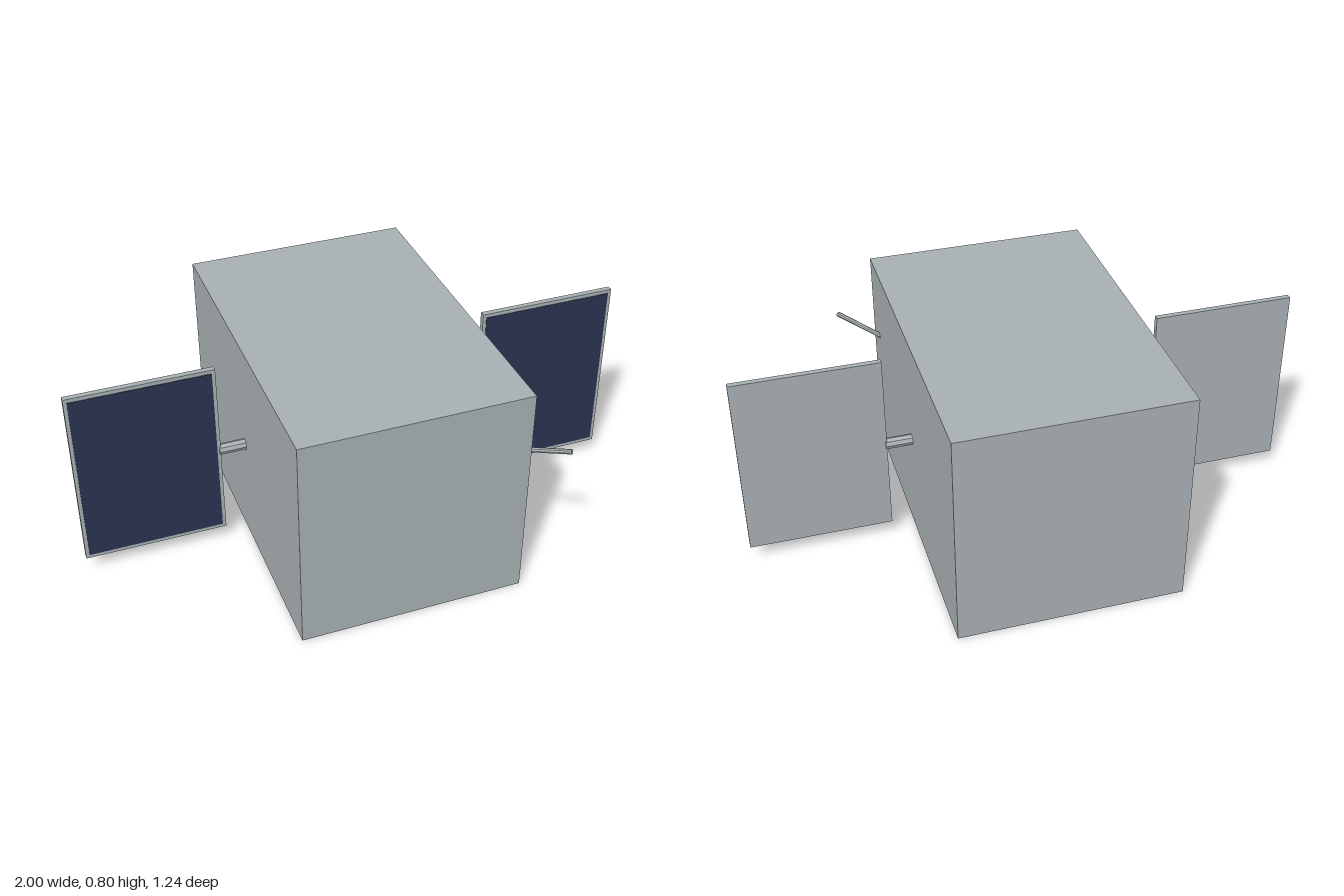
import * as THREE from 'three';

export function createModel() {
  const model = new THREE.Group();
  model.name = 'satellite';
  const hull = new THREE.MeshStandardMaterial({ color: 0xa8b0b3 });
  hull.name = 'hull grey';
  hull.flatShading = true;
  const navy = new THREE.MeshStandardMaterial({ color: 0x2b3350 });
  navy.name = 'solar cell navy';
  const midZ = -0.022;

  function box(name, size, pos, material, parent = model) {
    const mesh = new THREE.Mesh(new THREE.BoxGeometry(...size), material);
    mesh.name = name;
    mesh.position.set(...pos);
    parent.add(mesh);
  }

  // Faceted rod between two points
  function rod(name, from, to, radius, parent = model) {
    const a = new THREE.Vector3(...from);
    const b = new THREE.Vector3(...to);
    const dir = b.clone().sub(a);
    const mesh = new THREE.Mesh(new THREE.CylinderGeometry(radius, radius, dir.length(), 8), hull);
    mesh.name = name;
    mesh.position.copy(a).add(b).multiplyScalar(0.5);
    mesh.quaternion.setFromUnitVectors(new THREE.Vector3(0, 1, 0), dir.normalize());
    parent.add(mesh);
  }

  // Main body
  box('body', [0.8, 0.8, 1.195], [0, 0.4, midZ], hull);

  // Solar wings: strut, framed panel and cells on the front face
  for (const [side, s] of [['left', 1], ['right', -1]]) {
    const wing = new THREE.Group();
    wing.name = side + 'SolarWing';
    rod('strut', [s * 0.38, 0.4, midZ], [s * 0.495, 0.4, midZ], 0.02, wing);
    box('panelFrame', [0.51, 0.68, 0.02], [s * 0.745, 0.4, midZ], hull, wing);
    box('solarCells', [0.485, 0.652, 0.004], [s * 0.745, 0.4, midZ + 0.01], navy, wing);
    model.add(wing);
  }

  // Angled antenna on the left side near the front
  rod('antenna', [0.38, 0.519, 0.466], [0.531, 0.568, 0.61], 0.009);

  return model;
}
